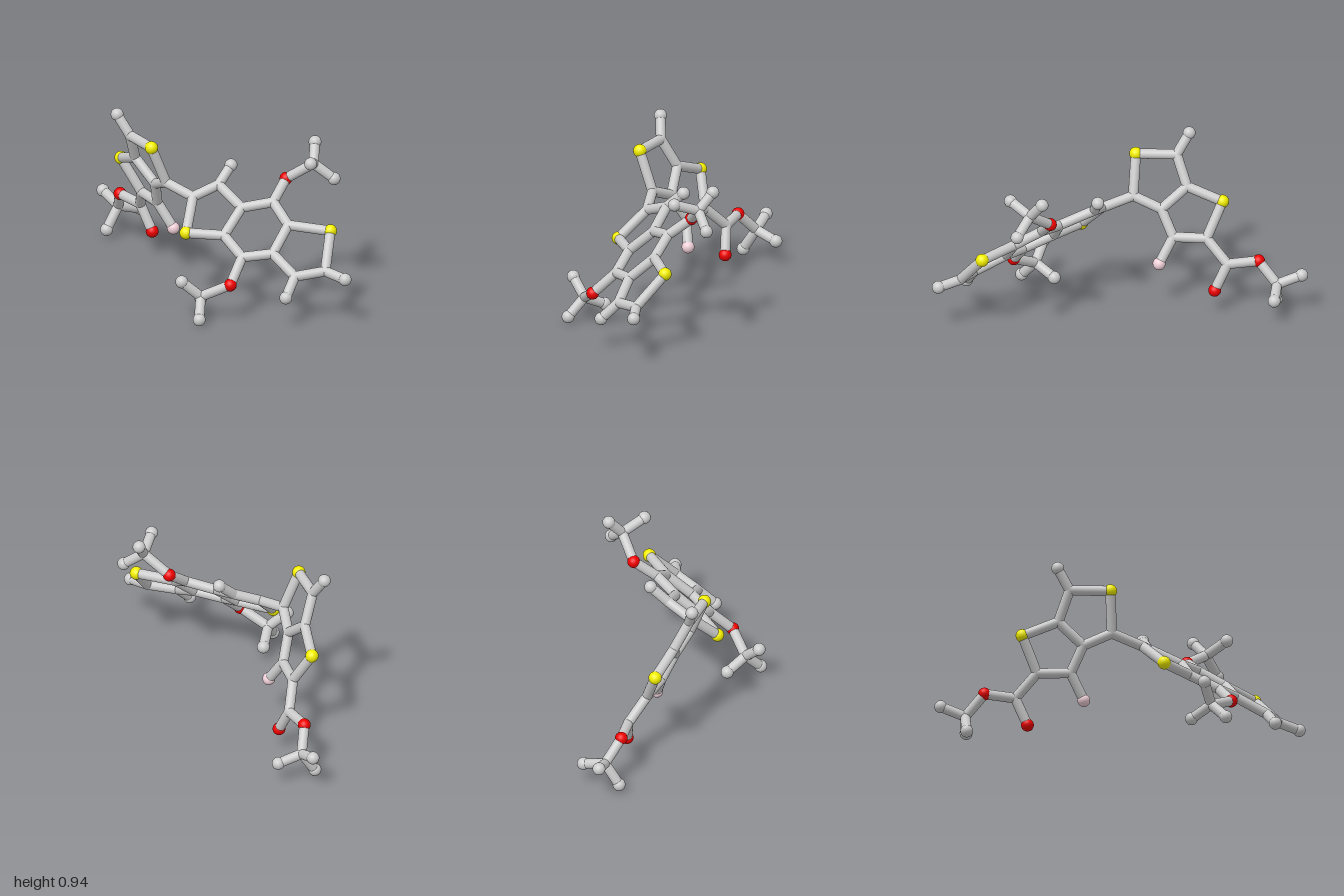
import * as THREE from 'three';

const BOND = 0.027, BALL = 0.034;
const material = (color) => new THREE.MeshStandardMaterial({ color });
const grey = material(0xcccccc);
const kinds = {
  joint: { name: 'joint', radius: BOND, mat: grey },
  end: { name: 'endBall', radius: BALL, mat: grey },
  S: { name: 'sulfurBall', radius: 0.035, mat: material(0xf2ee00) },
  O: { name: 'oxygenBall', radius: BALL, mat: material(0xee0000) },
  F: { name: 'fluorineBall', radius: BALL, mat: material(0xf0d0d8) },
};

// Atoms by part: [kind, x, y, z]
const parts = {
  leftFusedRings: {
    s1: ['S', -0.165, 0.80, 0.187],
    ch: ['joint', -0.375, 0.80, 0.135],
    h: ['end', -0.447, 0.907, 0.16],
    fa: ['joint', -0.415, 0.645, 0.057],
    fb: ['joint', -0.275, 0.53, 0.047],
    link: ['joint', -0.135, 0.592, 0.108],
    s2: ['S', -0.592, 0.575, -0.016],
    ce: ['joint', -0.495, 0.393, -0.072],
    cf: ['joint', -0.325, 0.393, -0.02],
    f: ['F', -0.242, 0.26, -0.056],
  },
  ester: {
    c: ['joint', -0.59, 0.275, -0.16],
    oDouble: ['O', -0.518, 0.135, -0.176],
    o: ['O', -0.755, 0.285, -0.174],
    t: ['joint', -0.84, 0.175, -0.248],
    m1: ['end', -0.97, 0.223, -0.263],
    m2: ['end', -0.80, 0.137, -0.37],
    m3: ['end', -0.853, 0.056, -0.172],
  },
  rightFusedRings: {
    a: ['joint', 0.04, 0.55, 0.083],
    b: ['joint', 0.105, 0.602, -0.045],
    bh: ['end', 0.105, 0.687, -0.138],
    s1: ['S', 0.122, 0.404, 0.217],
    c: ['joint', 0.29, 0.525, -0.03],
    d: ['joint', 0.293, 0.405, 0.105],
    e: ['joint', 0.41, 0.557, -0.147],
    g: ['joint', 0.45, 0.33, 0.128],
    i: ['joint', 0.552, 0.473, -0.116],
    j: ['joint', 0.57, 0.352, 0.018],
    s2: ['S', 0.748, 0.46, -0.235],
    k: ['joint', 0.84, 0.292, -0.103],
    kh: ['end', 0.963, 0.271, -0.128],
    l: ['joint', 0.74, 0.27, 0.025],
    lh: ['end', 0.762, 0.179, 0.115],
  },
  upperBranch: {
    o: ['O', 0.386, 0.652, -0.268],
    t: ['joint', 0.512, 0.748, -0.347],
    m1: ['end', 0.46, 0.84, -0.411],
    m2: ['end', 0.596, 0.797, -0.24],
    m3: ['end', 0.596, 0.666, -0.417],
  },
  lowerBranch: {
    o: ['O', 0.481, 0.213, 0.248],
    t: ['joint', 0.347, 0.136, 0.335],
    m1: ['end', 0.286, 0.224, 0.416],
    m2: ['end', 0.263, 0.081, 0.249],
    m3: ['end', 0.407, 0.04, 0.407],
  },
};

// Chains of bonded atoms inside each part
const chains = {
  leftFusedRings: ['s1 ch fa fb link s1', 'fa s2 ce cf fb', 'ch h', 'cf f'],
  ester: ['oDouble c o t m1', 'm2 t m3'],
  rightFusedRings: ['a b c d s1 a', 'c e i j g d', 'i s2 k l j', 'b bh', 'k kh', 'l lh'],
  upperBranch: ['o t m1', 'm2 t m3'],
  lowerBranch: ['o t m1', 'm2 t m3'],
};

// Bonds joining one part to another
const bridges = [
  ['leftFusedRings', 'link', 'rightFusedRings', 'a'],
  ['leftFusedRings', 'ce', 'ester', 'c'],
  ['rightFusedRings', 'e', 'upperBranch', 'o'],
  ['rightFusedRings', 'g', 'lowerBranch', 'o'],
];

const position = (part, key) => new THREE.Vector3(...parts[part][key].slice(1));

function makeBond(a, b) {
  const dir = b.clone().sub(a);
  const mesh = new THREE.Mesh(new THREE.CylinderGeometry(BOND, BOND, dir.length(), 20, 1, true), grey);
  mesh.name = 'bond';
  mesh.position.copy(a).add(b).multiplyScalar(0.5);
  mesh.quaternion.setFromUnitVectors(new THREE.Vector3(0, 1, 0), dir.normalize());
  return mesh;
}

export function createModel() {
  const model = new THREE.Group();
  model.name = 'molecule';

  for (const [part, atoms] of Object.entries(parts)) {
    const group = new THREE.Group();
    group.name = part;
    // Balls and rounded joints
    for (const key of Object.keys(atoms)) {
      const { name, radius, mat } = kinds[atoms[key][0]];
      const ball = new THREE.Mesh(new THREE.SphereGeometry(radius, 24, 16), mat);
      ball.name = name;
      ball.position.copy(position(part, key));
      group.add(ball);
    }
    // Bonds along each chain
    for (const chain of chains[part]) {
      const keys = chain.split(' ');
      for (let i = 1; i < keys.length; i++) {
        group.add(makeBond(position(part, keys[i - 1]), position(part, keys[i])));
      }
    }
    model.add(group);
  }

  for (const [p, a, q, b] of bridges) model.add(makeBond(position(p, a), position(q, b)));

  // Rest the lowest ball on the ground
  model.position.y = -0.006;
  return model;
}
